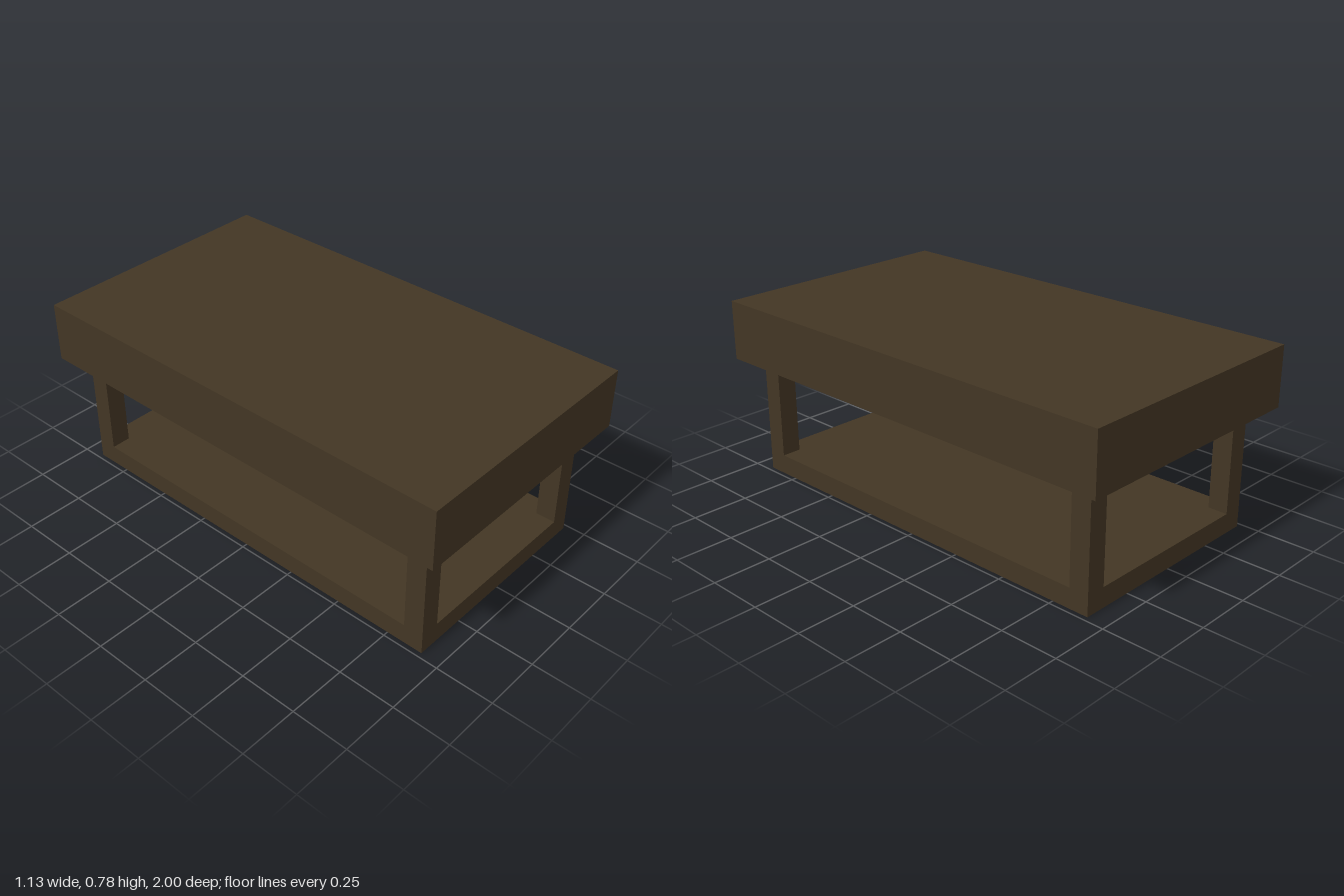
import * as THREE from 'three';

const U = 2 / 23; // all parts are whole multiples of this board thickness

export function createModel() {
  const group = new THREE.Group();
  const wood = new THREE.MeshStandardMaterial({ color: 0x433624 });
  wood.name = 'darkWood';

  // Box sized and placed in board units, y is its underside
  const box = (name, w, h, d, x, y, z) => {
    const mesh = new THREE.Mesh(new THREE.BoxGeometry(w * U, h * U, d * U), wood);
    mesh.name = name;
    mesh.position.set(x * U, (y + h / 2) * U, z * U);
    group.add(mesh);
  };

  // Rectangle outline centred on x, between two z values
  const rect = (path, halfW, z0, z1) => {
    path.moveTo(-halfW * U, z0 * U);
    path.lineTo(halfW * U, z0 * U);
    path.lineTo(halfW * U, z1 * U);
    path.lineTo(-halfW * U, z1 * U);
    path.closePath();
    return path;
  };

  // Table top board
  box('tableTop', 13, 1, 23, 0, 8, 0);

  // Deep apron with a cross beam, open underneath in two bays
  const outline = rect(new THREE.Shape(), 6.5, -11.5, 11.5);
  outline.holes.push(rect(new THREE.Path(), 5.5, -10.5, -0.5));
  outline.holes.push(rect(new THREE.Path(), 5.5, 0.5, 10.5));
  const apronGeometry = new THREE.ExtrudeGeometry(outline, { depth: 2 * U, bevelEnabled: false });
  apronGeometry.rotateX(-Math.PI / 2);
  const apron = new THREE.Mesh(apronGeometry, wood);
  apron.name = 'apron';
  apron.position.y = 6 * U;
  group.add(apron);

  // Four legs standing on the shelf
  for (const [sx, side] of [[1, 'Left'], [-1, 'Right']]) {
    for (const [sz, end] of [[1, 'front'], [-1, 'back']]) {
      box(`${end}${side}Leg`, 1, 5, 1, sx * 5, 1, sz * 10);
    }
  }

  // Low shelf resting on the floor
  box('shelf', 11, 1, 21, 0, 0, 0);

  return group;
}
